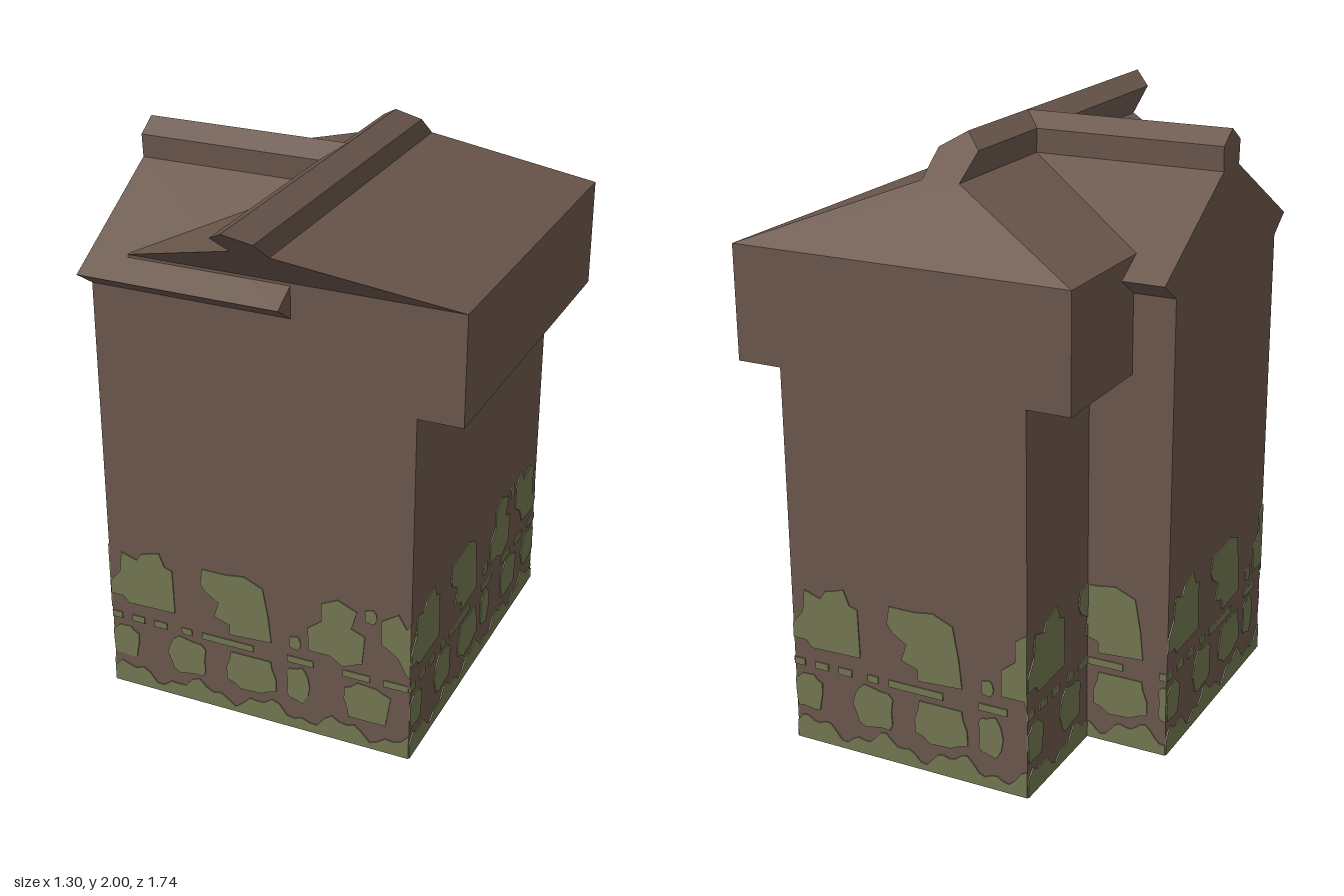
import * as THREE from 'three';
import { mergeGeometries } from 'three/addons/utils/BufferGeometryUtils.js';

const EAVE = 1.68;
const LEAN = 1.42; // forward lean of the main roof per unit of height

const brown = new THREE.MeshStandardMaterial({ color: 0x69554a, side: THREE.DoubleSide });
brown.name = 'brown plaster';
const green = new THREE.MeshStandardMaterial({ color: 0x70744f, side: THREE.DoubleSide });
green.name = 'moss green';

// Prism from a counter-clockwise section; the floor and the joint at the eave stay open
function prism(section, z0, z1, lean = 0) {
  const pos = [];
  const put = (p, z) => pos.push(p[0], p[1], z + lean * Math.max(0, p[1] - EAVE));
  section.forEach((p, i) => {
    const q = section[(i + 1) % section.length];
    if (p[1] === q[1] && (p[1] === 0 || p[1] === EAVE)) return;
    put(p, z0); put(q, z0); put(q, z1);
    put(p, z0); put(q, z1); put(p, z1);
  });
  const outline = section.map(([x, y]) => new THREE.Vector2(x, y));
  for (const [a, b, c] of THREE.ShapeUtils.triangulateShape(outline, [])) {
    for (const i of [a, b, c]) put(section[i], z1);
    for (const i of [c, b, a]) put(section[i], z0);
  }
  const g = new THREE.BufferGeometry();
  g.setAttribute('position', new THREE.Float32BufferAttribute(pos, 3));
  g.computeVertexNormals();
  return g;
}

// Ridge cap outline, from right to left, around a centre line
const ridge = (c) => [[c + 0.065, 1.875], [c + 0.07, 1.955], [c, 2], [c - 0.07, 1.955], [c - 0.065, 1.875]];

// Large moss patches as (distance along wall, height)
const PATCHES = [
  [[0, 0.37], [0.05, 0.37], [0.07, 0.345], [0.255, 0.35], [0.25, 0.52], [0.22, 0.53], [0.2, 0.58], [0.13, 0.56], [0.11, 0.53], [0.05, 0.55], [0.04, 0.47], [0, 0.42]],
  [[0.38, 0.47], [0.43, 0.44], [0.41, 0.38], [0.47, 0.36], [0.47, 0.32], [0.63, 0.33], [0.62, 0.43], [0.6, 0.54], [0.53, 0.57], [0.46, 0.56], [0.37, 0.56], [0.36, 0.5]],
  [[0.77, 0.34], [0.85, 0.34], [0.9, 0.31], [0.97, 0.34], [0.98, 0.45], [0.93, 0.47], [0.95, 0.54], [0.88, 0.57], [0.82, 0.54], [0.82, 0.47], [0.77, 0.43]],
  [[1.04, 0.44], [1.1, 0.4], [1.13, 0.34], [1.26, 0.33], [1.29, 0.37], [1.25, 0.4], [1.24, 0.52], [1.2, 0.55], [1.13, 0.52], [1.1, 0.57], [1.04, 0.53]],
];
// Rounded moss spots: start, end, bottom, top
const SPOTS = [
  [0, 0.1, 0.12, 0.24], [0.23, 0.37, 0.11, 0.25], [0.46, 0.64, 0.11, 0.25], [0.69, 0.77, 0.12, 0.25],
  [0.91, 1.07, 0.11, 0.25], [1.15, 1.28, 0.12, 0.25], [0.98, 1.02, 0.51, 0.56], [0.7, 0.74, 0.33, 0.38],
];
// Thin moss dashes: start, end
const DASHES = [[0, 0.04], [0.08, 0.13], [0.17, 0.22], [0.28, 0.32], [0.36, 0.56], [0.69, 0.79], [0.9, 1], [1.05, 1.14], [1.2, 1.29]];

function spot([u0, u1, v0, v1]) {
  const pts = [];
  for (let i = 0; i < 14; i++) {
    const a = (i / 14) * Math.PI * 2;
    const r = 1.05 + 0.1 * Math.sin(i * 2.3 + u0 * 20);
    const square = (t) => Math.sign(t) * Math.pow(Math.abs(t), 0.6) * r * 0.5 + 0.5;
    pts.push([u0 + (u1 - u0) * square(Math.cos(a)), v0 + (v1 - v0) * square(Math.sin(a))]);
  }
  return pts;
}

// Moss plates set through a wall so they show on both of its sides
function mossWall(name, x, z, angle, length) {
  const strip = [[length, 0]];
  for (let i = 40; i >= 0; i--) {
    const u = (length * i) / 40;
    strip.push([u, 0.06 + 0.025 * Math.sin(u * 23) + 0.015 * Math.sin(u * 61)]);
  }
  strip.push([0, 0]);
  const dashes = DASHES.map(([a, b]) => [[a, 0.272], [b, 0.272], [b, 0.297], [a, 0.297]]);
  const plates = [strip, ...PATCHES, ...SPOTS.map(spot), ...dashes]
    .filter((pts) => Math.min(...pts.map((p) => p[0])) < length - 0.02)
    .map((pts) => {
      const shape = new THREE.Shape(pts.map(([u, v]) => new THREE.Vector2(THREE.MathUtils.clamp(u, 0, length), v)));
      return new THREE.ExtrudeGeometry(shape, { depth: 0.008, bevelEnabled: false });
    });
  const mesh = new THREE.Mesh(mergeGeometries(plates).translate(0, 0, -0.004), green);
  mesh.position.set(x, 0, z);
  mesh.rotation.y = angle;
  mesh.name = name;
  return mesh;
}

export function createModel() {
  const model = new THREE.Group();
  model.name = 'house';
  const add = (name, geometry) => {
    const mesh = new THREE.Mesh(geometry, brown);
    mesh.name = name;
    model.add(mesh);
    return mesh;
  };

  // Main block with a wider upper storey on both sides
  add('mainWalls', prism([
    [0.495, 0], [0.495, 1.3], [0.65, 1.3], [0.65, EAVE],
    [-0.51, EAVE], [-0.51, 1.3], [-0.365, 1.3], [-0.365, 0],
  ], -0.87, 0.415));

  // Main roof, leaning forward
  add('mainRoof', prism([[0.65, EAVE], ...ridge(0.067), [-0.51, EAVE]], -0.87, 0.415, LEAN));

  // Side wing with its own roof, running into the main block
  const wing = prism([
    [0.415, 0], [0.415, 1.56], [0.505, 1.62], ...ridge(-0.015),
    [-0.53, 1.62], [-0.44, 1.56], [-0.44, 0],
  ], -0.065, 0.65);
  add('sideWing', wing.rotateY(-Math.PI / 2));

  // Moss along the foot of every wall
  const H = Math.PI / 2;
  model.add(
    mossWall('frontMoss', -0.65, 0.415, 0, 1.145),
    mossWall('mainLeftMoss', 0.495, 0.415, H, 1.285),
    mossWall('backMoss', 0.495, -0.87, 2 * H, 0.86),
    mossWall('mainRightMoss', -0.365, -0.87, -H, 1.285),
    mossWall('wingBackMoss', 0.065, -0.44, 2 * H, 0.715),
    mossWall('wingSideMoss', -0.65, -0.44, -H, 0.855),
    mossWall('wingInnerMoss', 0.065, 0.415, H, 0.855),
  );
  return model;
}
